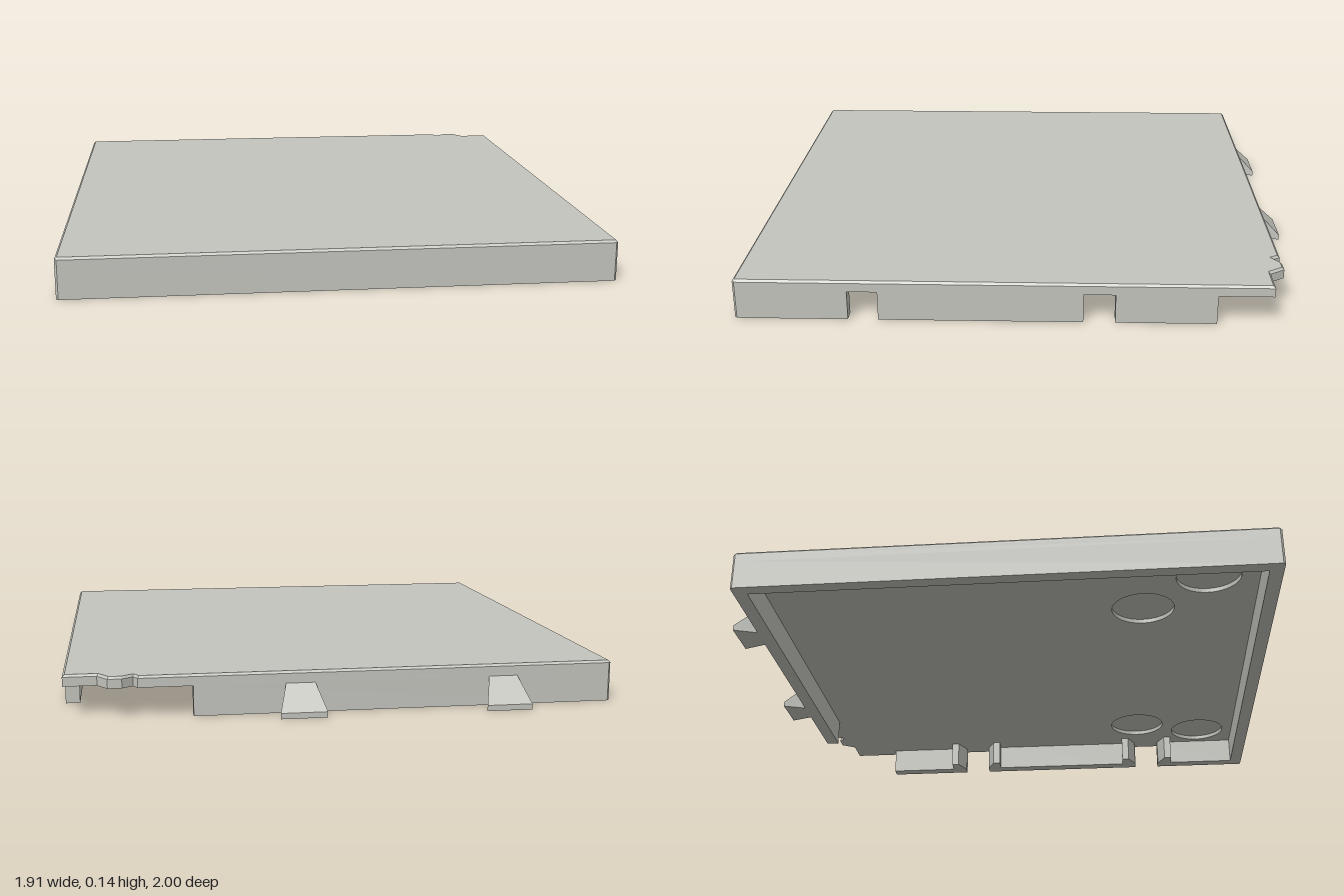
import * as THREE from 'three';

const X = 0.955, BACK = -0.915, FRONT = 1, T = 0.05; // outer limits and wall thickness
const CEIL = 0.105, TOP = 0.145, C = 0.008;          // underside, top and chamfer

const toShape = (pts) => new THREE.Shape(pts.map(([x, z]) => new THREE.Vector2(x, -z)));

// Extrude a plan outline of [x, z] points upwards from y0 to y1
function prism(shape, y0, y1, options = {}) {
  const geo = new THREE.ExtrudeGeometry(shape, { depth: y1 - y0, bevelEnabled: false, curveSegments: 24, ...options });
  geo.rotateX(-Math.PI / 2);
  geo.translate(0, y0, 0);
  return geo;
}

export function createModel() {
  const group = new THREE.Group();
  const grey = new THREE.MeshStandardMaterial({ color: 0xc4c4be });
  grey.name = 'warm light grey';
  const add = (name, geo) => {
    const mesh = new THREE.Mesh(geo, grey);
    mesh.name = name;
    group.add(mesh);
    return mesh;
  };

  // Cover plate outline with the stepped latch corner at the back left
  const outline = [
    [-X, FRONT - C], [-X + C, FRONT], [X - C, FRONT], [X, FRONT - C],
    [X, -0.862], [0.84, -0.862], [0.805, BACK], [0.757, BACK], [0.72, -0.888], [0.705, BACK],
    [-X + C, BACK], [-X, BACK + C],
  ];

  // Lower layer of the plate, with round recesses in its underside
  const layer = toShape(outline);
  for (const [x, z] of [[-0.475, 0.53], [-0.7, 0.765], [0.675, 0.51], [0.76, 0.79]]) {
    const hole = new THREE.Path();
    hole.absarc(x, -z, 0.118, 0, Math.PI * 2, true);
    layer.holes.push(hole);
  }
  add('plateUnderside', prism(layer, CEIL, 0.133));

  // Upper layer with a chamfered rim, closing the recesses
  add('plateTop', prism(toShape(outline), 0.129, TOP - C, {
    bevelEnabled: true, bevelThickness: C, bevelSize: C, bevelOffset: -C, bevelSegments: 1,
  }));

  // Continuous wall around the front, right and back
  add('mainWall', prism(toShape([
    [X, 0.605], [X, FRONT - C], [X - C, FRONT], [-X + C, FRONT], [-X, FRONT - C],
    [-X, BACK + C], [-X + C, BACK], [0.52, BACK], [0.52, BACK + T],
    [-X + T, BACK + T], [-X + T, FRONT - T], [X - T, FRONT - T], [X - T, 0.605],
  ]), 0, CEIL));

  // Left wall pieces between the slots
  for (const [z0, z1] of [[-0.21, 0.5], [-0.67, -0.32]]) {
    add('leftWall', prism(toShape([[X, z0], [X, z1], [X - T, z1], [X - T, z0]]), 0, CEIL));
  }

  // Flared guides behind each slot in the left wall
  for (const zc of [0.5525, -0.265]) {
    for (const s of [-1, 1]) {
      add('slotGuide', prism(toShape([
        [X - T, zc + s * 0.055], [X - T, zc + s * 0.115],
        [0.84, zc + s * 0.115], [0.84, zc + s * 0.085],
      ]), 0, CEIL));
    }
  }

  // Dovetail tabs on the back wall, sloping down to a thin tip
  for (const xc of [-0.56, 0.155]) {
    const tab = new THREE.BoxGeometry(1, 1, 1);
    const p = tab.attributes.position;
    for (let i = 0; i < p.count; i++) {
      const tip = p.getZ(i) < 0;
      p.setXYZ(i,
        xc + Math.sign(p.getX(i)) * (tip ? 0.08 : 0.05),
        p.getY(i) < 0 ? 0 : (tip ? 0.02 : CEIL),
        tip ? -1 : BACK + 0.002);
    }
    const flat = tab.toNonIndexed();
    flat.computeVertexNormals();
    add('dovetailTab', flat);
  }
  return group;
}
